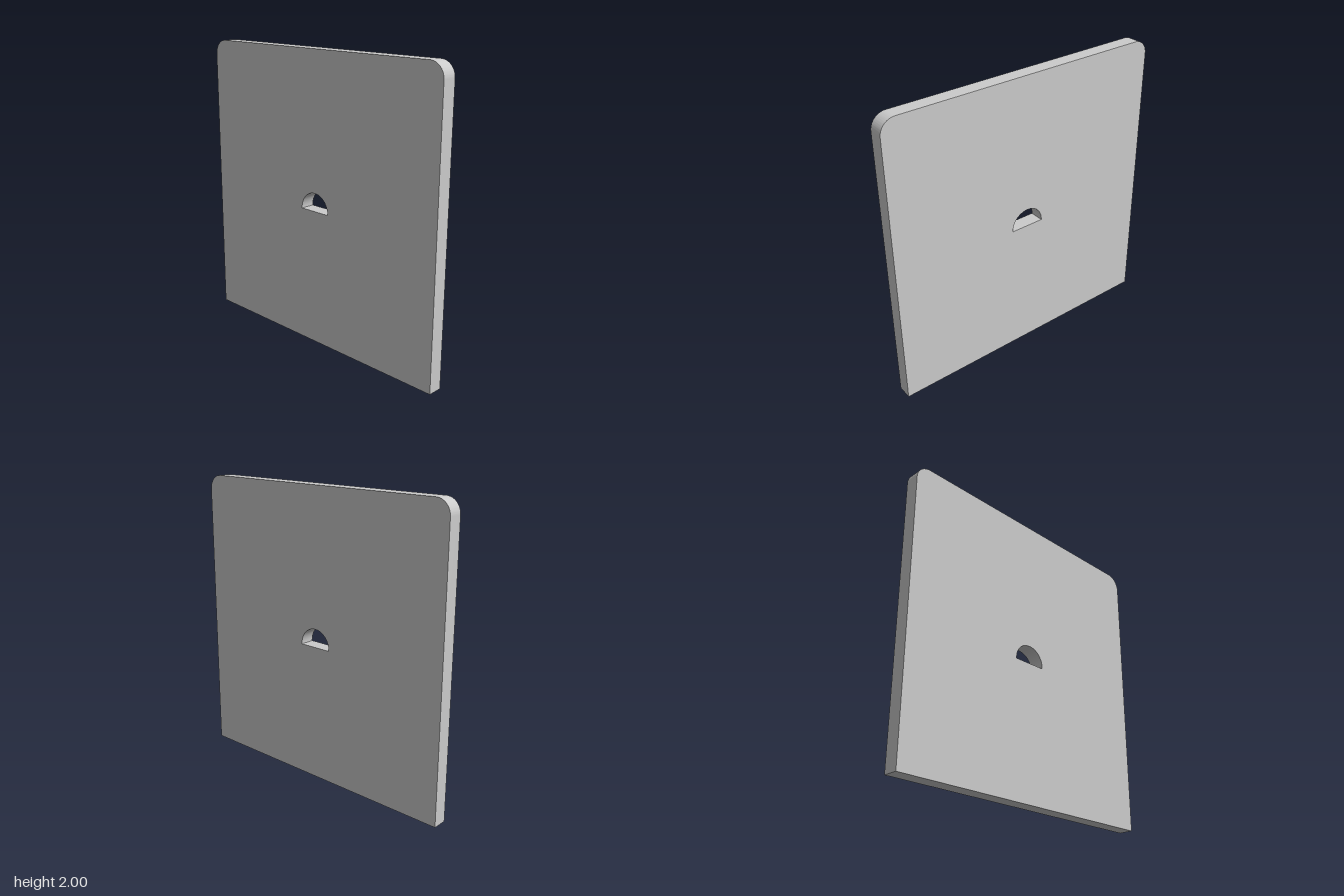
import * as THREE from 'three';
import { toCreasedNormals } from 'three/addons/utils/BufferGeometryUtils.js';

const HALF_WIDTH = 1, HEIGHT = 2, THICKNESS = 0.1, CORNER = 0.1;
const HOLE_RADIUS = 0.12, HOLE_BOTTOM = 0.94, HOLE_CENTRE = 0.945;

export function createModel() {
  const group = new THREE.Group();
  group.name = 'panel';

  // Outline: square bottom corners, rounded top corners
  const outline = new THREE.Shape();
  outline.moveTo(-HALF_WIDTH, 0);
  outline.lineTo(HALF_WIDTH, 0);
  outline.lineTo(HALF_WIDTH, HEIGHT - CORNER);
  outline.absarc(HALF_WIDTH - CORNER, HEIGHT - CORNER, CORNER, 0, Math.PI / 2, false);
  outline.lineTo(-HALF_WIDTH + CORNER, HEIGHT);
  outline.absarc(-HALF_WIDTH + CORNER, HEIGHT - CORNER, CORNER, Math.PI / 2, Math.PI, false);
  outline.closePath();

  // Half-round hole through the middle, flat side down
  const hole = new THREE.Path();
  hole.moveTo(-HOLE_RADIUS, HOLE_BOTTOM);
  hole.lineTo(HOLE_RADIUS, HOLE_BOTTOM);
  hole.absarc(0, HOLE_CENTRE, HOLE_RADIUS, 0, Math.PI, false);
  hole.closePath();
  outline.holes.push(hole);

  // Extrude the thickness, then turn the broad faces towards +x and -x
  const extruded = new THREE.ExtrudeGeometry(outline, {
    depth: THICKNESS, bevelEnabled: false, curveSegments: 20,
  });
  extruded.translate(0, 0, -THICKNESS / 2);
  extruded.rotateY(Math.PI / 2);

  const slab = new THREE.Mesh(
    toCreasedNormals(extruded, Math.PI / 6),
    new THREE.MeshStandardMaterial({ color: 0xcccccc }),
  );
  slab.name = 'slab';
  group.add(slab);
  return group;
}
